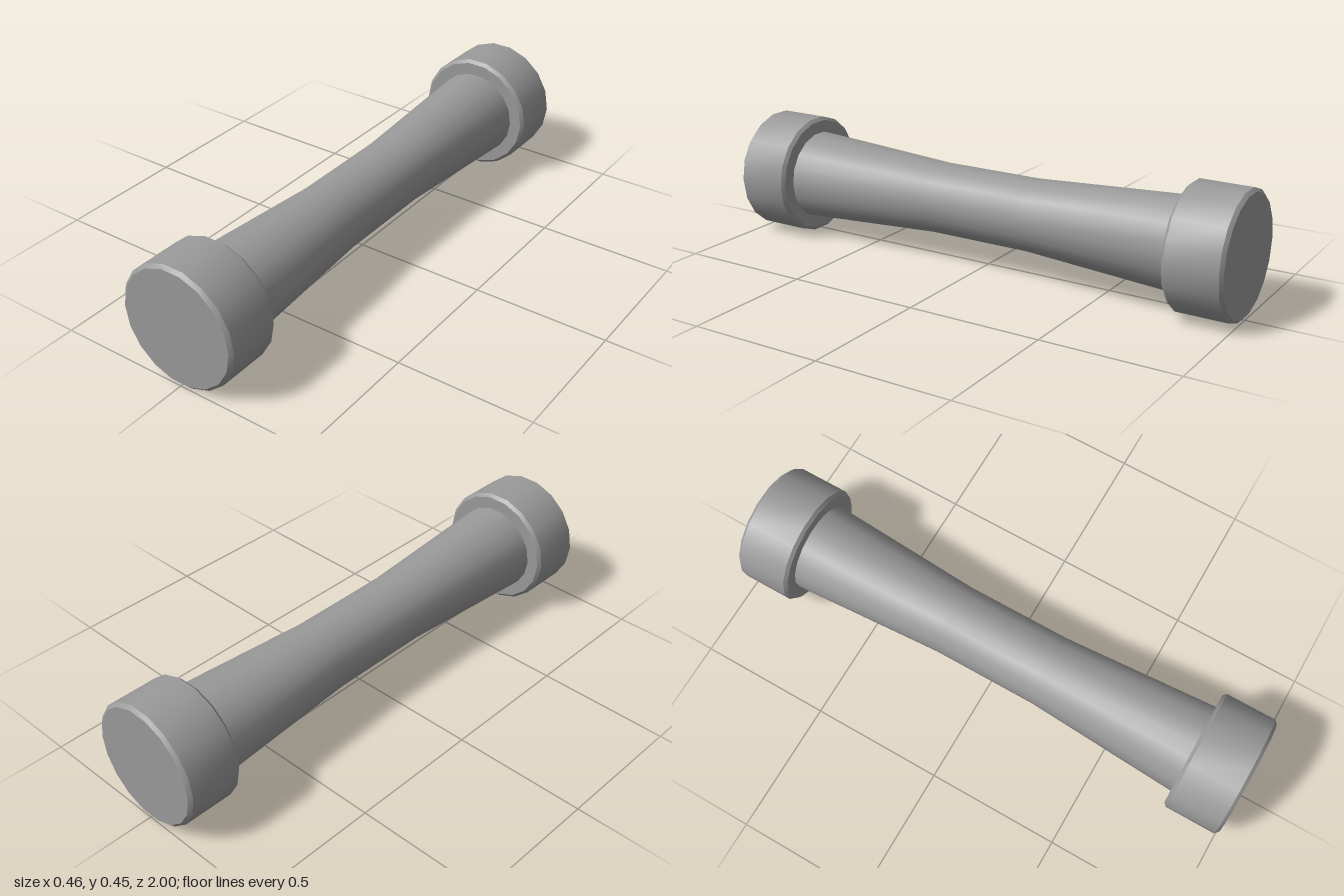
import * as THREE from 'three';
import { toCreasedNormals } from 'three/addons/utils/BufferGeometryUtils.js';

const SIDES = 18;
const AXIS_HEIGHT = 0.2245;

// Turns a [radius, z] profile around the z axis, with a corner on the +x side
function turned(name, profile, material) {
  const points = profile.map(([r, z]) => new THREE.Vector2(r, z));
  const lathe = new THREE.LatheGeometry(points, SIDES, Math.PI / 2);
  lathe.rotateX(Math.PI / 2);
  const mesh = new THREE.Mesh(toCreasedNormals(lathe, Math.PI / 6), material);
  mesh.name = name;
  mesh.position.y = AXIS_HEIGHT;
  return mesh;
}

export function createModel() {
  const group = new THREE.Group();
  group.name = 'dumbbell';
  const material = new THREE.MeshStandardMaterial({ color: 0x9a9a9a });

  // Waisted grip, running a little way into both end caps
  group.add(turned('grip', [
    [0, -0.8], [0.17, -0.8], [0.134, -0.2],
    [0.134, 0.2], [0.17, 0.8], [0, 0.8],
  ], material));

  // Bevelled end caps
  const R = 0.228, B = 0.012, inner = 0.786;
  const capProfile = [
    [0, inner], [R - B, inner], [R, inner + B],
    [R, 1 - B], [R - B, 1], [0, 1],
  ];
  group.add(turned('frontCap', capProfile, material));
  const mirrored = capProfile.map(([r, z]) => [r, -z]).reverse();
  group.add(turned('backCap', mirrored, material));

  return group;
}
